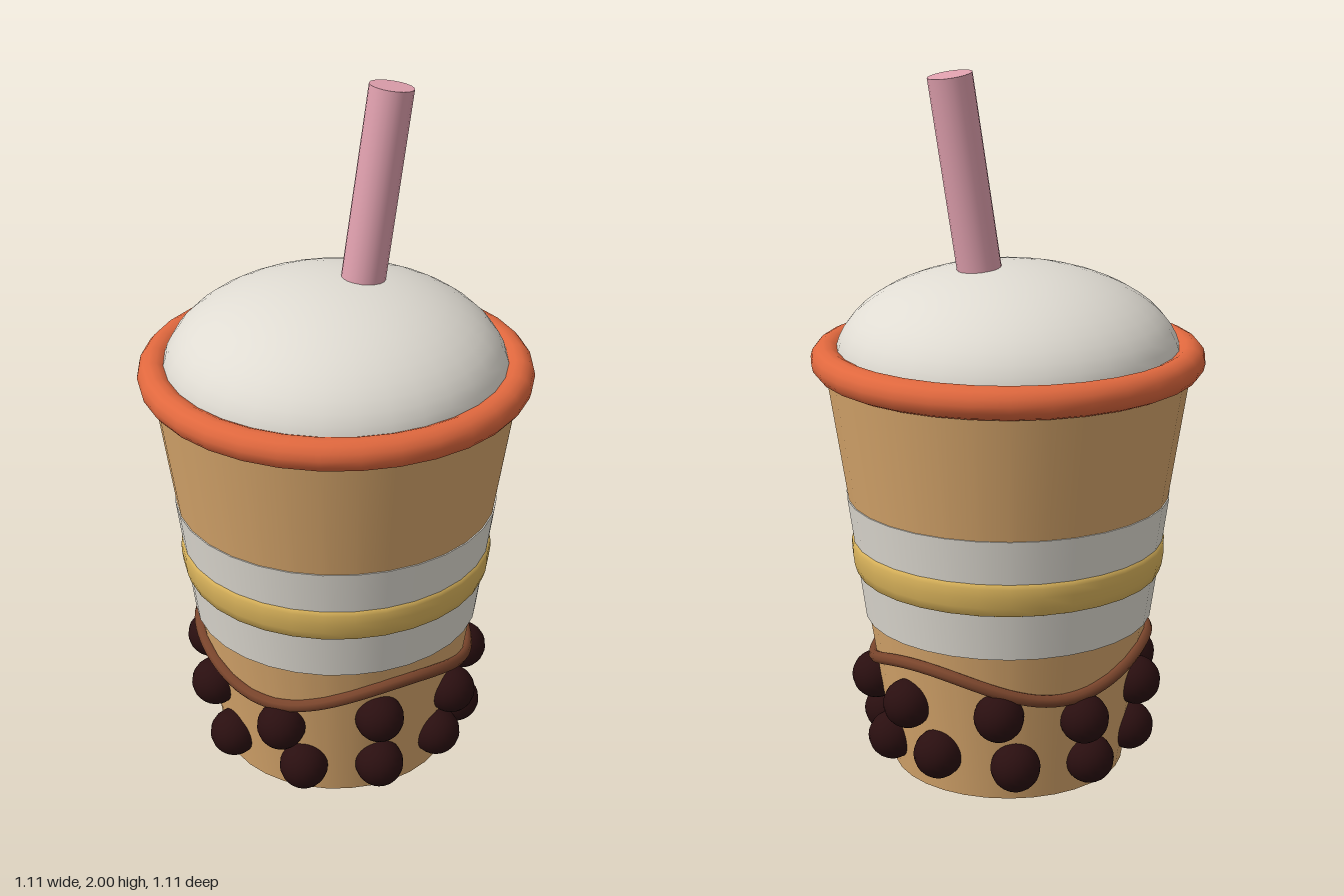
import * as THREE from 'three';

const mat = (name, color) => {
  const m = new THREE.MeshStandardMaterial({ color });
  m.name = name;
  return m;
};

export function createModel() {
  const tea = mat('milk tea tan', 0xd8a76c);
  const cream = mat('cream white', 0xe0dcd3);
  const orange = mat('rim orange', 0xe0683e);
  const yellow = mat('band yellow', 0xdcb55c);
  const pink = mat('straw pink', 0xe0a0ae);
  const pearl = mat('pearl dark brown', 0x2a0f10);
  const brown = mat('syrup brown', 0x7a452c);

  const group = new THREE.Group();
  group.name = 'bubbleTea';
  const add = (name, geometry, material, parent = group) => {
    const mesh = new THREE.Mesh(geometry, material);
    mesh.name = name;
    parent.add(mesh);
    return mesh;
  };
  // Tapered ring or solid from [radius, height] pairs
  const lathe = (points) =>
    new THREE.LatheGeometry(points.map(([r, y]) => new THREE.Vector2(r, y)), 32);

  // Cup wall and base
  const cupRadius = (y) => 0.335 + 0.153 * y;
  add('cup', lathe([[cupRadius(0), 0], [cupRadius(1.18), 1.18]]), tea);
  const base = add('cupBase', new THREE.CircleGeometry(cupRadius(0), 32), tea);
  base.rotation.x = Math.PI / 2;

  // Wide sleeve; its lower edge stands a little proud of the cup
  add('sleeve', lathe([[0.413, 0.45], [0.462, 0.805]]), cream);
  add('sleeveLowerLip', lathe([[0.39, 0.45], [0.413, 0.45]]), cream);
  add('sleeveUpperLip', lathe([[0.462, 0.805], [0.45, 0.805]]), cream);

  // Softly rounded stripe on the sleeve
  add('sleeveStripe', lathe([
    [0.425, 0.58], [0.437, 0.585], [0.445, 0.61], [0.449, 0.64], [0.449, 0.665], [0.444, 0.68], [0.43, 0.682],
  ]), yellow);

  // Lid: skirt, rolled rim and dome
  add('lidSkirt', lathe([[0.488, 1.04], [0.498, 1.2]]), cream);
  add('lidSkirtLip', lathe([[0.47, 1.04], [0.488, 1.04]]), cream);
  const rim = add('lidRim', new THREE.TorusGeometry(0.509, 0.045, 14, 32), orange);
  rim.rotation.x = Math.PI / 2;
  rim.position.y = 1.2;
  const dome = add('lidDome',
    new THREE.SphereGeometry(0.485, 32, 14, 0, Math.PI * 2, 0, Math.PI / 2), cream);
  dome.scale.y = 0.546;
  dome.position.y = 1.2;

  // Leaning straw, its lower end hidden inside the dome
  const lean = 0.155, strawLength = 0.75;
  const straw = add('straw', new THREE.CylinderGeometry(0.062, 0.062, strawLength, 20), pink);
  straw.rotation.z = -lean;
  straw.position.set(
    0.17 - Math.sin(lean) * strawLength / 2, 1.99 - Math.cos(lean) * strawLength / 2, 0);

  // Wavy syrup line with three crests around the cup
  const wave = [];
  for (let i = 0; i < 48; i++) {
    const a = (i / 48) * Math.PI * 2;
    const y = 0.352 + 0.042 * Math.cos(3 * a);
    const r = cupRadius(y) + 0.006;
    wave.push(new THREE.Vector3(r * Math.sin(a), y, r * Math.cos(a)));
  }
  add('syrupWave',
    new THREE.TubeGeometry(new THREE.CatmullRomCurve3(wave, true), 96, 0.018, 8, true), brown);

  // Two uneven rows of pearls: [angle in degrees from the front, height]
  const pearls = new THREE.Group();
  pearls.name = 'pearls';
  group.add(pearls);
  const pearlShape = new THREE.SphereGeometry(0.07, 18, 14);
  const row = (name, radius, spots) => spots.forEach(([deg, y], i) => {
    const a = THREE.MathUtils.degToRad(deg);
    add(name + (i + 1), pearlShape, pearl, pearls)
      .position.set(radius * Math.sin(a), y, radius * Math.cos(a));
  });
  row('upperPearl', 0.386, [
    [-95, 0.26], [-53, 0.24], [-10.5, 0.275], [31, 0.255], [69, 0.245],
    [110, 0.26], [153, 0.27], [190, 0.24], [229, 0.27],
  ]);
  row('lowerPearl', 0.362, [
    [-85, 0.11], [-44, 0.1], [-9, 0.1], [25, 0.12], [57, 0.105],
    [90, 0.11], [124, 0.125], [160, 0.11], [196, 0.1], [233, 0.115],
  ]);

  return group;
}
